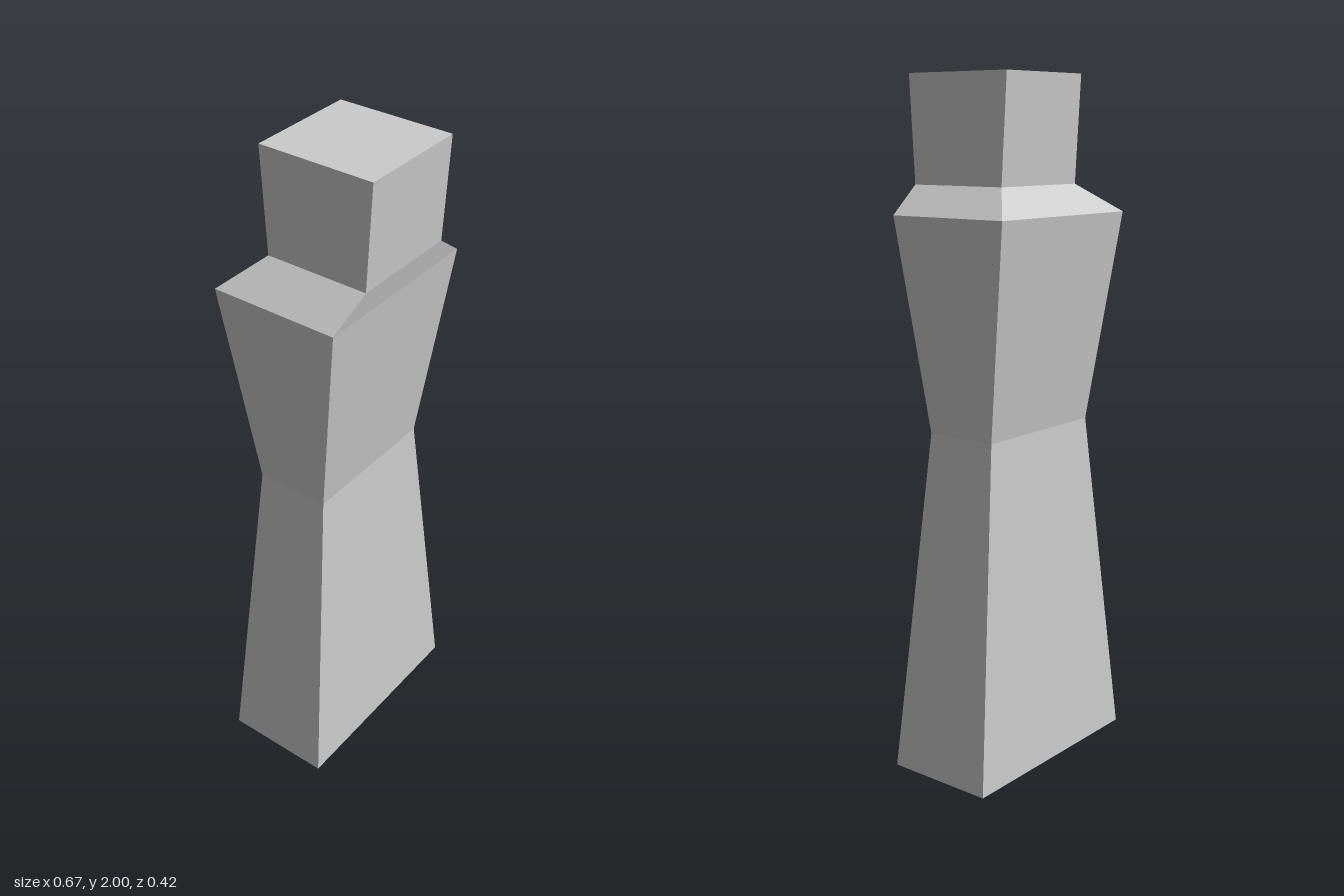
import * as THREE from 'three';

// Rectangular cross-sections from the ground up: height, half width, back z, front z
const base = { y: 0, w: 0.333, back: -0.185, front: 0.147 };
const waist = { y: 1.0, w: 0.222, back: -0.128, front: 0.094 };
const shoulder = { y: 1.615, w: 0.278, back: -0.212, front: 0.175 };
const neck = { y: 1.695, w: 0.167, back: -0.12, front: 0.193 };
const crown = { y: 2, w: 0.167, back: -0.138, front: 0.211 };

const material = new THREE.MeshStandardMaterial({ color: 0xcccccc, flatShading: true });

// Block between two sections, made by moving the corners of a unit box
function block(name, lower, upper, keepBottom, keepTop) {
  const geometry = new THREE.BoxGeometry(1, 1, 1);
  const p = geometry.attributes.position;
  for (let i = 0; i < p.count; i++) {
    const s = p.getY(i) > 0 ? upper : lower;
    p.setXYZ(i, Math.sign(p.getX(i)) * s.w, s.y, p.getZ(i) > 0 ? s.front : s.back);
  }
  // Leave out the hidden faces where blocks meet (box faces: +x -x +y -y +z -z)
  const index = Array.from(geometry.index.array);
  geometry.setIndex(index.filter((_, i) => {
    const face = Math.floor(i / 6);
    return (face !== 2 || keepTop) && (face !== 3 || keepBottom);
  }));
  geometry.computeVertexNormals();
  const mesh = new THREE.Mesh(geometry, material);
  mesh.name = name;
  return mesh;
}

export function createModel() {
  const model = new THREE.Group();
  model.name = 'blockFigure';
  model.add(
    block('lowerBody', base, waist, true, false),
    block('torso', waist, shoulder, false, false),
    block('shoulders', shoulder, neck, false, false),
    block('head', neck, crown, false, true),
  );
  return model;
}
